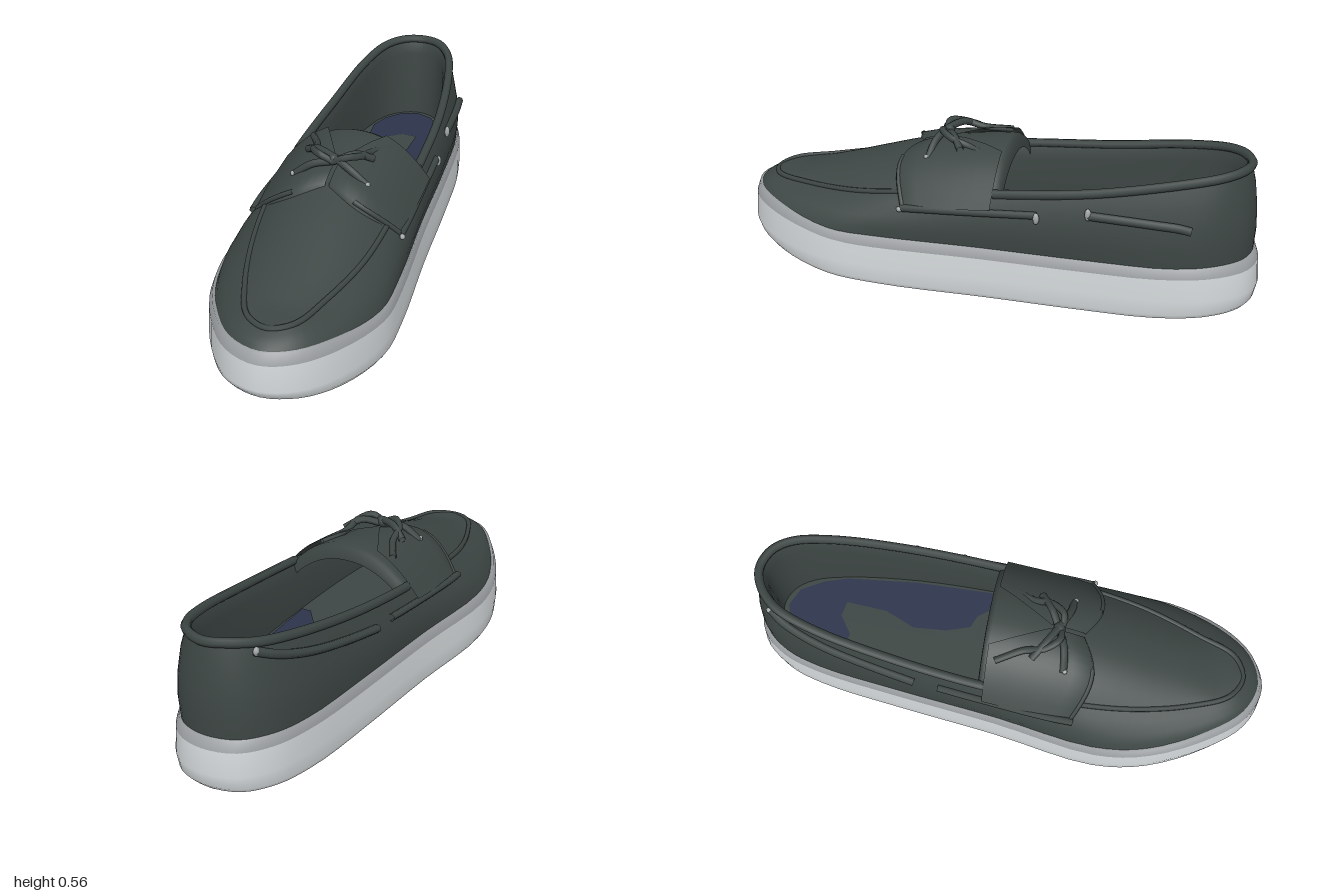
import * as THREE from 'three';

const N = 80; // points per ring: heel is 0, toe is N / 2, left and right mirror by index
const mat = (name, color, side = THREE.FrontSide) => {
  const m = new THREE.MeshStandardMaterial({ color, side });
  m.name = name;
  return m;
};
const V = (x, y, z) => new THREE.Vector3(x, y, z);
const smooth = THREE.MathUtils.smoothstep;

// Stations from heel to toe: z, x on the -x side, x on the +x side, height
const SOLE = [
  [-0.995, 0.05, 0.05], [-0.965, -0.07, 0.16], [-0.87, -0.15, 0.24], [-0.73, -0.195, 0.285],
  [-0.4, -0.24, 0.305], [0, -0.285, 0.315], [0.4, -0.342, 0.335], [0.61, -0.312, 0.328],
  [0.83, -0.21, 0.245], [0.955, -0.105, 0.14], [1, 0.02, 0.02],
];
const TOP = [
  [-0.93, 0.05, 0.05, 0.545], [-0.905, -0.025, 0.125, 0.545], [-0.84, -0.09, 0.18, 0.535],
  [-0.7, -0.14, 0.222, 0.51], [-0.4, -0.185, 0.258, 0.455], [-0.05, -0.215, 0.262, 0.41],
  [0.25, -0.215, 0.25, 0.375], [0.5, -0.185, 0.22, 0.335], [0.72, -0.125, 0.155, 0.31],
  [0.86, -0.06, 0.1, 0.305], [0.9, 0.02, 0.02, 0.3],
];
// Height of the vamp along its middle
const CROWN = [[-0.1, 0.535], [0.05, 0.52], [0.25, 0.485], [0.4, 0.44], [0.6, 0.375], [0.8, 0.315], [0.92, 0.305]];
function crown(z) {
  const k = Math.max(1, CROWN.findIndex((c) => c[0] >= z));
  const [a, b] = [CROWN[k - 1], CROWN[k]];
  return THREE.MathUtils.mapLinear(z, a[0], b[0], a[1], b[1]);
}

// Closed smooth ring through the stations
function ring(rows, sx = 1, sz = 1, height = (z, y) => y) {
  const at = (r, x) => V(0.02 + (x - 0.02) * sx, r[3] ?? 0, r[0] * sz);
  const left = rows.map((r) => at(r, r[1]));
  const right = rows.slice(1, -1).reverse().map((r) => at(r, r[2]));
  const curve = new THREE.CatmullRomCurve3([...left, ...right], true);
  return Array.from({ length: N }, (_, i) => {
    const p = curve.getPoint(i / N);
    p.y = height(p.z, p.y);
    return p;
  });
}

// Ring flattened onto the centre line, to close a floor
const spine = (points) => points.map((p) => V(0.02, p.y, p.z));

// Skin over rows of points
function skin(rows, closed) {
  const n = rows[0].length;
  const idx = [];
  for (let r = 0; r < rows.length - 1; r++) {
    for (let i = 0; i < (closed ? n : n - 1); i++) {
      const a = r * n + i, b = r * n + ((i + 1) % n);
      idx.push(a, b, b + n, a, b + n, a + n);
    }
  }
  const g = new THREE.BufferGeometry().setFromPoints(rows.flat());
  g.setIndex(idx);
  g.computeVertexNormals();
  return g;
}

export function createModel() {
  const model = new THREE.Group();
  model.name = 'deckShoe';
  const leather = mat('dark leather', 0x3d4644, THREE.DoubleSide);
  const rubber = mat('light rubber', 0xd4d9db);
  const bandGrey = mat('grey band', 0x9a9da0);
  const treadGrey = mat('tread grey', 0xaeb2b5);
  const navy = mat('navy lining', 0x2d344b, THREE.DoubleSide);
  const darkPatch = mat('dark tread patch', 0x485056, THREE.DoubleSide);
  const tipGrey = mat('lace tip grey', 0xa4a8a8);
  const add = (name, geo, m) => {
    const mesh = new THREE.Mesh(geo, m);
    mesh.name = name;
    model.add(mesh);
    return mesh;
  };
  const tube = (name, pts, r) =>
    add(name, new THREE.TubeGeometry(new THREE.CatmullRomCurve3(pts), pts.length * 4, r, 7), leather);
  // Thin flat outline laid on a floor; shape y runs toward the heel
  const flat = (name, pts, y, m) => {
    const shape = new THREE.Shape(pts.map(([a, b]) => new THREE.Vector2(a, b)));
    const mesh = add(name, new THREE.ShapeGeometry(shape), m);
    mesh.rotation.x = -Math.PI / 2;
    mesh.position.y = y;
  };

  // Sole: tread, light side wall, grey band
  const under = (z) => 0.003 + 0.08 * Math.max(0, z) ** 3 + 0.017 * smooth(-z, 0.5, 1);
  const lightTop = (z) => 0.165 + 0.055 * smooth(z, 0.4, 1) + 0.015 * smooth(-z, 0.5, 1);
  const bandTop = (z) => 0.205 + 0.055 * smooth(z, 0.5, 0.97) + 0.015 * smooth(-z, 0.6, 1);
  const edge = ring(SOLE, 0.965, 0.975, under);
  add('tread', skin([spine(edge), edge], true), treadGrey);
  add('soleWall', skin([
    edge, ring(SOLE, 0.995, 0.99, (z) => under(z) + 0.018), ring(SOLE, 1, 1, (z) => under(z) * 0.5 + 0.08),
    ring(SOLE, 0.985, 0.99, lightTop),
  ], true), rubber);
  add('soleBand', skin([
    ring(SOLE, 0.985, 0.99, lightTop), ring(SOLE, 0.955, 0.975, bandTop),
    ring(SOLE, 0.9, 0.95, bandTop),
  ], true), bandGrey);
  flat('treadPatch', [
    [-0.08, 0.03], [-0.01, 0.03], [0.02, 0.06], [0.025, 0.27], [-0.005, 0.31],
    [-0.08, 0.31], [-0.11, 0.27], [-0.11, 0.07],
  ], 0, darkPatch);

  // Upper side walls
  const base = ring(SOLE, 0.935, 0.97, (z) => bandTop(z) - 0.008);
  const top = ring(TOP);
  const bulge = (t, k) => base.map((p, i) => {
    const q = p.clone().lerp(top[i], t);
    q.x = 0.02 + (q.x - 0.02) * k;
    q.z *= 1 + (k - 1) * 0.2;
    return q;
  });
  const mid = bulge(0.5, 1.08);
  add('upperWall', skin([base, bulge(0.25, 1.06), mid, bulge(0.78, 1.06), top], true), leather);

  // Lining and insole
  const floor = ring(TOP, 0.93, 0.97, () => 0.2);
  add('lining', skin([top, ring(TOP, 0.9, 0.975, (z, y) => y - 0.06), floor], true), leather);
  add('insole', skin([floor, spine(floor)], true), leather);
  flat('insoleLining', [
    [-0.1, 0.63], [-0.105, 0.72], [-0.075, 0.8], [-0.02, 0.86], [0.05, 0.885], [0.12, 0.855], [0.17, 0.77],
    [0.2, 0.68], [0.23, 0.4], [0.238, 0.05], [0.2, 0.05], [0.13, 0.14], [0.08, 0.16], [0.05, 0.25],
    [0.04, 0.38], [0.09, 0.5], [0.1, 0.66], [0.04, 0.67], [-0.03, 0.62],
  ], 0.204, navy);

  // Arched point above the seam line; u runs from -1 to 1 across the vamp
  const arch = (i, u, lift = 0) => {
    const l = top[i], r = top[N - i];
    const h = Math.max(0, crown(l.z) - l.y);
    return V((l.x + r.x) / 2 + (u * (r.x - l.x)) / 2, l.y + lift + h * (1 - Math.abs(u) ** 2.2), l.z);
  };
  const span = (n, f) => Array.from({ length: n + 1 }, (_, j) => f(j / n));

  // Vamp and tongue, with a rolled rear edge
  const vamp = [];
  for (let i = 40; i >= 20; i--) vamp.push(span(16, (t) => arch(i, t * 2 - 1)));
  vamp.push(vamp[20].map((p) => V(p.x, p.y - 0.01, p.z - 0.02)));
  vamp.push(vamp[20].map((p) => V(p.x, p.y - 0.06, p.z - 0.025)));
  add('vamp', skin(vamp), leather);
  tube('vampSeam', top.slice(20, 61), 0.01);

  // Padded collar around the opening
  tube('collar', [...top.slice(N - 20), ...top.slice(0, 21)], 0.017);

  for (const s of [-1, 1]) {
    const side = s < 0 ? 'right' : 'left';
    // Eyelet flap, open in a V toward the ankle, its front edge sweeping forward at the sides
    const flap = [];
    for (let i = 20; i <= 25; i++) {
      const inner = 0.03 + 0.45 * Math.max(0, (23 - i) / 3);
      flap.push(span(10, (t) => {
        const p = arch(i, s * (inner + (1.2 - inner) * t), 0.018);
        p.z += ((i - 20) / 5) * (0.05 * Math.sin(t * Math.PI) - 0.03);
        return p;
      }));
    }
    flap.push(flap[5].map((p) => V(p.x, p.y - 0.03, p.z + 0.01)));
    add(side + 'Flap', skin(flap), leather);
    tube(side + 'FlapHem', flap[5].slice(4).map((p) => V(p.x, p.y - 0.006, p.z)), 0.009);

    // Point on the side wall, t from mid height to the top edge
    const at = (i, t, out = 0.01) => {
      const j = s < 0 ? i : N - i;
      const p = mid[j].clone().lerp(top[j], t);
      p.x += s * out;
      return p;
    };
    // Lace threaded along the side, climbing to the heel on the -x side only
    tube(side + 'SideLaceFront', [18, 19, 20, 21, 22, 23, 24].map((i) => at(i, 0.42)), 0.014);
    const rear = s < 0
      ? [7, 9, 11, 13, 15, 17].map((i) => at(i, 0.85 - (i - 7) * 0.05))
      : [11, 12, 13, 14, 15, 16].map((i) => at(i, 0.45 - (16 - i) * 0.09));
    tube(side + 'SideLaceRear', rear, 0.016);
    const tips = s < 0 ? [[7, 0.85, 1]] : [[16, 0.5, 1.6], [18, 0.35, 1.5], [24, 0.4, 0.7]];
    for (const [i, t, tall] of tips) {
      const tip = add(side + 'LaceTip', new THREE.SphereGeometry(0.015, 8, 6), tipGrey);
      tip.position.copy(at(i, t, 0.017));
      tip.scale.set(0.7, tall, 0.8);
    }

    // Crossed lace over the tongue and its loop
    const c = 0.01;
    tube(side + 'CrossLace', [
      V(c + s * 0.14, 0.465, 0.23), V(c + s * 0.07, 0.515, 0.22), V(c, 0.53 + s * 0.008, 0.19),
      V(c - s * 0.07, 0.54, 0.15), V(c - s * 0.125, 0.51, 0.11),
    ], 0.014);
    tube(side + 'BowLoop', [
      V(c, 0.525, 0.2), V(c + s * 0.05, 0.548, 0.2), V(c + s * 0.09, 0.535, 0.15),
      V(c + s * 0.1, 0.515, 0.08), V(c + s * 0.15, 0.495, -0.02),
    ], 0.013);
    const eyelet = add(side + 'Eyelet', new THREE.SphereGeometry(0.01, 8, 6), tipGrey);
    eyelet.position.set(c + s * 0.14, 0.472, 0.235);
  }
  const knot = add('laceKnot', new THREE.SphereGeometry(0.022, 10, 8), leather);
  knot.position.set(0.01, 0.53, 0.19);
  return model;
}
